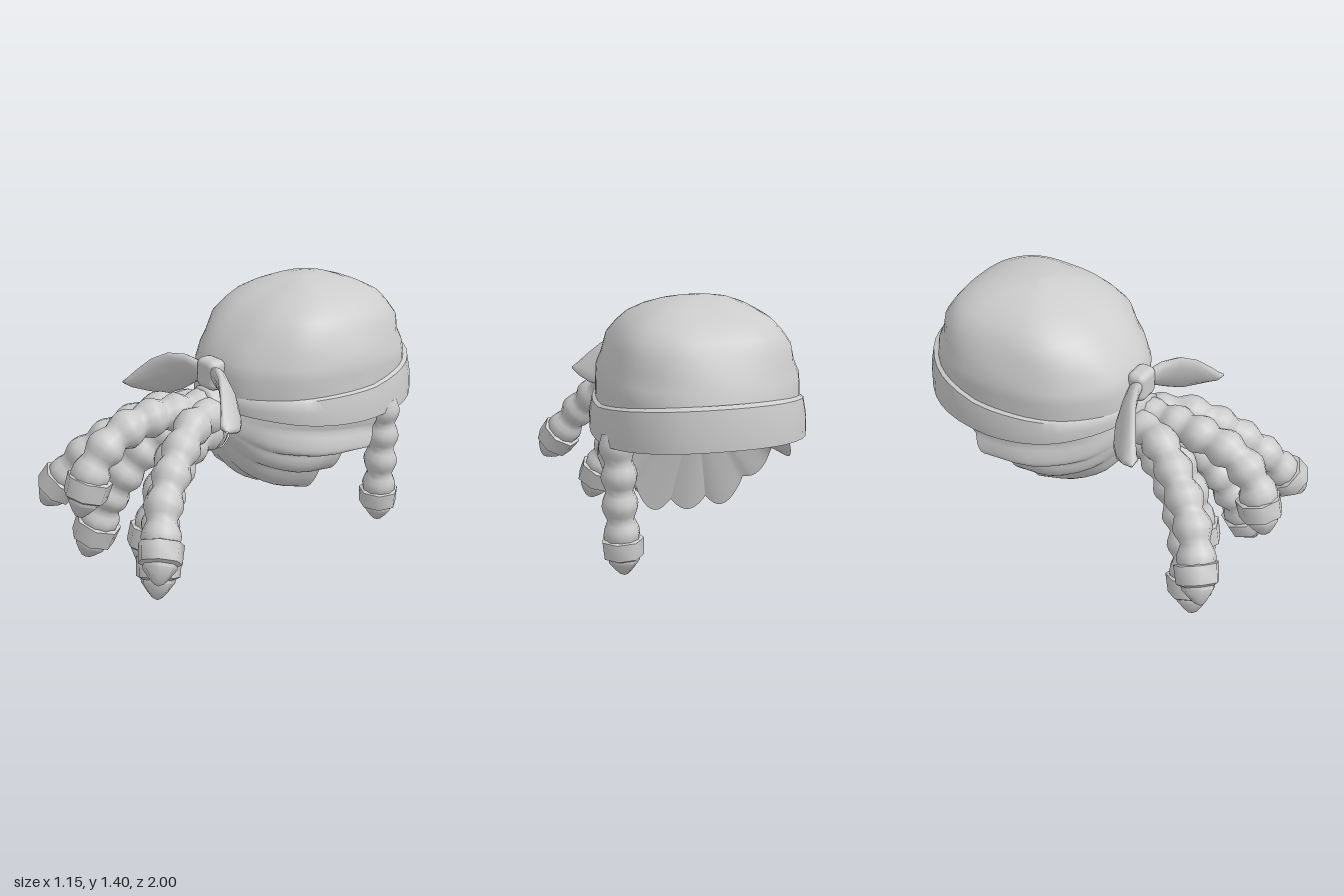
import * as THREE from 'three';
import { toCreasedNormals } from 'three/addons/utils/BufferGeometryUtils.js';
import { RoundedBoxGeometry } from 'three/addons/geometries/RoundedBoxGeometry.js';

const V = (x, y, z) => new THREE.Vector3(x, y, z);
const grey = new THREE.MeshStandardMaterial({ color: 0xcccccc, side: THREE.DoubleSide });
grey.name = 'clay grey';

// Surface through rows of points; rings close on themselves when closed is true
function loft(rows, closed, crease) {
  const n = rows[0].length, idx = [], cols = closed ? n : n - 1;
  for (let r = 0; r < rows.length - 1; r++) {
    for (let i = 0; i < cols; i++) {
      const j = (i + 1) % n, a = r * n + i, b = r * n + j;
      idx.push(a, b, a + n, b, b + n, a + n);
    }
  }
  const g = new THREE.BufferGeometry().setFromPoints(rows.flat());
  g.setIndex(idx);
  g.computeVertexNormals();
  return crease ? toCreasedNormals(g, crease) : g;
}

export function createModel() {
  const model = new THREE.Group();
  const add = (name, geometry, parent = model) => {
    const m = new THREE.Mesh(geometry, grey);
    m.name = name;
    parent.add(m);
    return m;
  };

  // Egg-shaped head outline seen from above, mirrored to a closed curve
  const half = [[0.12, 0.145], [0.21, 0.11], [0.315, 0.025], [0.395, -0.07], [0.45, -0.19], [0.48, -0.32],
    [0.49, -0.45], [0.465, -0.65], [0.4, -0.79], [0.27, -0.91], [0.14, -0.96]];
  const outline = new THREE.CatmullRomCurve3([
    V(0, 0, 0.155), ...half.map(([x, z]) => V(x, 0, z)), V(0, 0, -0.975),
    ...half.slice().reverse().map(([x, z]) => V(-x, 0, z)),
  ], true).getPoints(56).slice(0, 56);
  const cz = -0.42;
  // Outline scaled by separate amounts sideways, to the front and to the back
  const ring = (side, front, back, y) => outline.map((p) => V(
    p.x * side, y(p.z), cz + (p.z - cz) * (p.z > cz ? front : back)));
  const rimY = (z) => 0.752 + 0.185 * (z + 0.45) ** 2;
  const bandY = (z) => z > -0.5 ? 0.92 - 0.03 * (z + 0.5) : 0.92 + 0.18 * (-0.5 - z);

  // Cloth crown: soft folds along the sides, squarer towards the flat top
  const crown = [ring(0.965, 0.99, 0.965, (z) => bandY(z) - 0.03)];
  [[1.0, 0.965, 0.995, 0.945], [1.06, 0.945, 0.95, 0.92], [1.12, 0.91, 0.895, 0.87],
    [1.2, 0.83, 0.775, 0.81], [1.26, 0.755, 0.655, 0.74], [1.305, 0.67, 0.545, 0.675], [1.345, 0.53, 0.4, 0.54],
    [1.375, 0.38, 0.24, 0.38], [1.393, 0.21, 0.12, 0.22], [1.403, 0.001, 0.001, 0.001],
  ].forEach(([y, ...s], k) => {
    const fold = k < 4 ? (k % 2 ? 0.01 : -0.006) : 0;
    const square = k < 3 ? 0.01 : 0.07;
    crown.push(ring(...s, () => y).map((p) => {
      const corner = Math.sin(2 * Math.atan2(p.x, p.z - cz)) ** 2;
      const f = 1 + fold * Math.min(1, Math.abs(p.x) * 3) + square * corner;
      return V(p.x * f, p.y, cz + (p.z - cz) * (1 + square * corner));
    }));
  });
  add('clothCrown', loft(crown, true));

  // Folded band around the brim, merging with the crown at the front
  add('clothBand', loft([
    ring(0.95, 0.95, 0.95, (z) => rimY(z) + 0.03), ring(0.97, 0.97, 0.97, rimY),
    ring(1.03, 1.0, 1.04, (z) => rimY(z) + 0.005),
    ring(1.03, 1.003, 1.035, (z) => (rimY(z) + bandY(z)) / 2),
    ring(1.0, 0.998, 1.005, (z) => bandY(z) - 0.008), ring(0.955, 0.985, 0.955, (z) => bandY(z) + 0.004),
  ], true, 0.8));

  // Lining that closes the underside of the cloth
  const apex = V(0, 0.92, -0.45);
  const lip = ring(0.96, 0.96, 0.96, (z) => rimY(z) + 0.02);
  add('lining', loft([lip, lip.map((p) => p.clone().lerp(apex, 0.99))], true));

  // Gathered hair: four guide lines from the tie to the ragged edge
  const guides = [
    [[0, .6, .14], [.05, .61, .14], [.09, .65, .14], [.12, .7, .14], [.12, .76, .14], [.1, .84, .13]],
    [[0, .46, .05], [.11, .47, .05], [.21, .53, .03], [.27, .6, .02], [.29, .68, .02], [.28, .84, .01]],
    [[0, .355, -.1], [.14, .365, -.11], [.28, .45, -.14], [.39, .55, -.17], [.44, .63, -.22], [.43, .82, -.25]],
    [[0, .3, -.31], [.15, .3, -.31], [.31, .42, -.34], [.42, .57, -.38], [.47, .6, -.5], [.465, .8, -.56]],
  ].map((g) => new THREE.CatmullRomCurve3([
    ...g.slice(1).reverse().map(([x, y, z]) => V(-x, y, z)), ...g.map((p) => V(...p)),
  ]).getPoints(80));
  const strands = guides[0].map((_, i) => {
    const dip = 1 - Math.abs(Math.cos(i / 80 * Math.PI * 8));
    return new THREE.CatmullRomCurve3(guides.map((g) => g[i])).getPoints(9).map((p, k) => {
      const d = dip * Math.min(1, k / 5);
      return V(p.x * (1 - 0.06 * d), 0.82 + (p.y - 0.82) * (1.01 - 0.13 * d), p.z);
    });
  });
  add('gatheredHair', loft(strands, false));
  const edge = strands.map((s) => s[9]);
  add('hairUnderside', loft([edge, edge.map((p) => p.clone().lerp(apex, 0.99))], false, 0.5));

  // Hair tie
  const tie = add('hairTie', new THREE.LatheGeometry([
    [0.001, -0.05], [0.12, -0.05], [0.135, -0.025], [0.135, 0.025], [0.12, 0.05], [0.001, 0.05],
  ].map(([r, y]) => new THREE.Vector2(r, y)), 16));
  tie.rotation.x = Math.PI / 2;
  tie.scale.z = 1.27;
  tie.position.set(0, 0.765, 0.185);

  // Bow knot and two drooping, tilted cloth ends
  add('bowKnot', new RoundedBoxGeometry(0.14, 0.155, 0.1, 3, 0.035)).position.set(0.01, 1.0, 0.17);
  const bow = [[.03, 1.04, .95, .165, .01], [.13, 1.073, .91, .195, .03], [.22, 1.065, .85, .225, .045],
    [.3, 1.02, .81, .27, .05], [.37, .95, .82, .325, .04], [.41, .905, .845, .37, .02], [.44, .88, .87, .4, 0]];
  for (const side of [-1, 1]) {
    const rows = bow.map(([x, top, low, z, tilt], k) => Array.from({ length: 12 }, (_, i) => {
      const a = side * i / 12 * Math.PI * 2, t = (k === 6 ? 0.004 : 0.036) * Math.cos(a);
      return V(side * (x - t * 0.5), (top + low) / 2 + (top - low) / 2 * Math.sin(a),
        z + t * 0.85 + tilt * Math.sin(a));
    }));
    add(side > 0 ? 'leftBowEnd' : 'rightBowEnd', loft(rows, true));
  }

  // Beaded lock: lumpy tube, faceted cuff and pointed tip
  const cuffShape = [[0.001, -0.168], [0.028, -0.155], [0.058, -0.122], [0.09, -0.08], [0.092, -0.062],
    [0.116, -0.05], [0.122, 0.05], [0.08, 0.062]].map(([r, y]) => new THREE.Vector2(r, y));
  const cuffGeometry = toCreasedNormals(new THREE.LatheGeometry(cuffShape, 7), 0.95);
  function lock(name, points, size = 1) {
    const group = new THREE.Group();
    group.name = name;
    model.add(group);
    const path = new THREE.CatmullRomCurve3(points.map((p) => V(...p)));
    const beads = Math.max(3, Math.round(path.getLength() / (0.155 * size)));
    const n = beads * 6, frames = path.computeFrenetFrames(n, false);
    const rows = [];
    for (let k = 0; k <= n; k++) {
      const c = path.getPointAt(k / n);
      const r = size * (0.078 + 0.027 * Math.abs(Math.sin(k / n * beads * Math.PI)) ** 1.4);
      rows.push(Array.from({ length: 10 }, (_, i) => {
        const a = i / 10 * Math.PI * 2;
        return c.clone().addScaledVector(frames.normals[k], r * Math.cos(a))
          .addScaledVector(frames.binormals[k], r * Math.sin(a));
      }));
    }
    add('beadedStrand', loft(rows, true), group);
    const cuff = add('cuffAndTip', cuffGeometry, group);
    cuff.position.copy(path.getPointAt(1));
    cuff.quaternion.setFromUnitVectors(V(0, -1, 0), path.getTangentAt(1));
    cuff.scale.setScalar(size);
  }
  lock('topLock', [[0, .82, .17], [0, .835, .35], [-.01, .835, .55], [-.01, .785, .73], [-.02, .67, .85], [-.03, .56, .885]], 0.95);
  lock('upperRightLock', [[-.05, .8, .18], [-.14, .81, .37], [-.25, .71, .55], [-.37, .56, .71], [-.46, .405, .79]], 0.93);
  lock('upperLeftLock', [[.05, .8, .18], [.14, .81, .37], [.245, .71, .55], [.355, .545, .71], [.455, .375, .8]], 0.92);
  lock('lowerRightLock', [[-.04, .73, .18], [-.13, .69, .38], [-.2, .51, .54], [-.27, .33, .63], [-.315, .165, .675]]);
  lock('lowerMiddleLock', [[0, .7, .18], [0, .65, .34], [0, .49, .45], [0, .34, .5], [-.01, .2, .54]]);
  lock('lowerLeftLock', [[.04, .73, .18], [.1, .68, .38], [.15, .51, .54], [.2, .33, .63], [.25, .18, .675]], 0.95);
  lock('templeLock', [[.43, .82, -.61], [.42, .66, -.62], [.415, .45, -.62], [.405, .255, -.625]], 0.84);

  return model;
}
